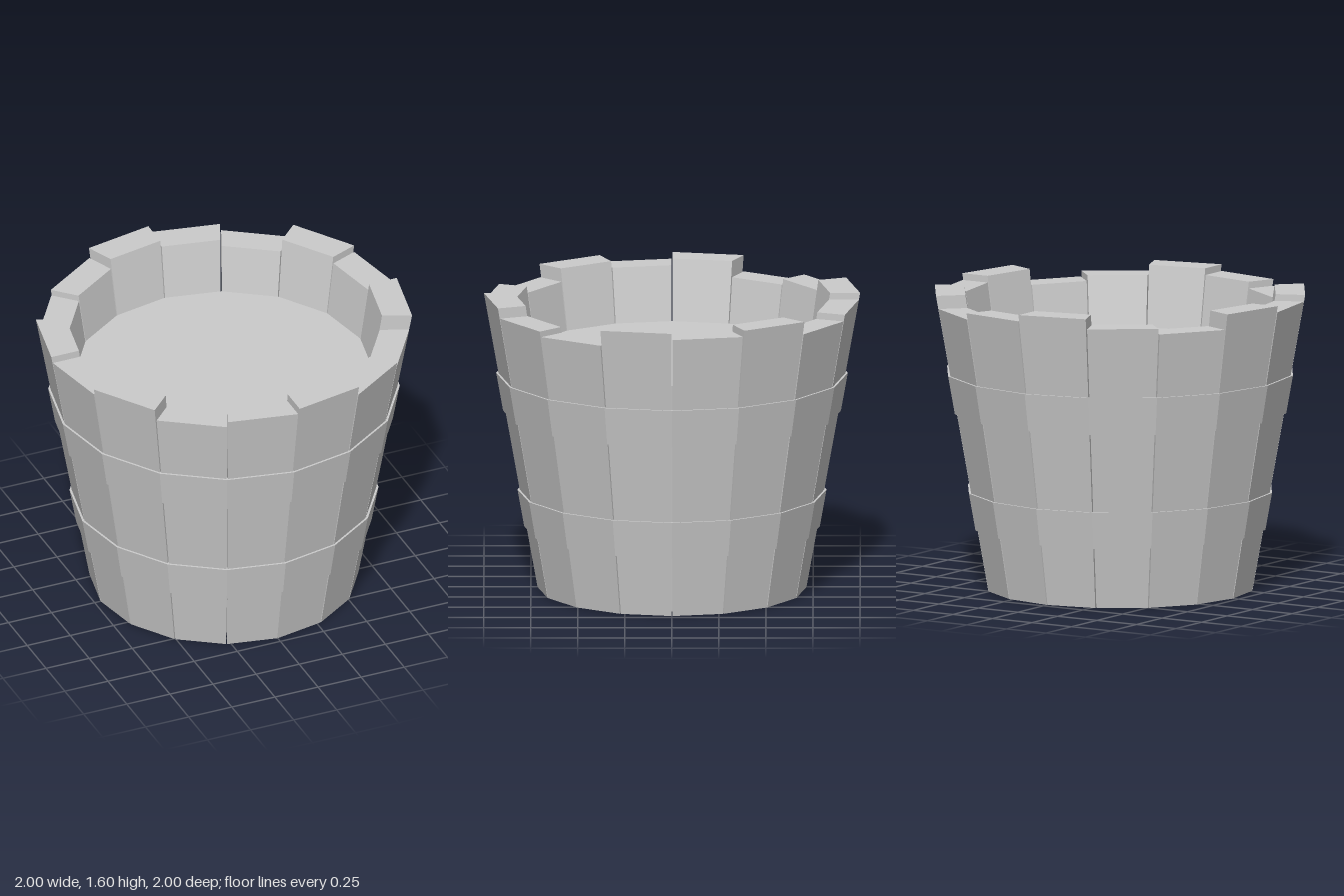
import * as THREE from 'three';

const SIDES = 16;
const STEP = (Math.PI * 2) / SIDES;
const FULL = 1.6;
const INNER = 0.84;   // inner radius as a share of the outer radius
const GAP = 0.003;    // half the slit between neighbouring staves
const FLOOR = 1.27;

// Outer radius of the tapered wall at height y
const outerRadius = (y) => 0.715 + (0.285 * y) / FULL;

// Stave heights; the pattern repeats on the opposite half
const HEIGHTS = [1.6, 1.545, 1.515, 1.6, 1.565, 1.6, 1.53, 1.565];

const material = new THREE.MeshStandardMaterial({ color: 0xcccccc, flatShading: true });

function addMesh(group, geometry, name) {
  const mesh = new THREE.Mesh(geometry, material);
  mesh.name = name;
  group.add(mesh);
  return mesh;
}

// A box bent into a tapered wedge, spanning one side of the polygon
function staveGeometry(index, height) {
  const geometry = new THREE.BoxGeometry(1, 1, 1);
  const p = geometry.attributes.position;
  for (let i = 0; i < p.count; i++) {
    const side = Math.sign(p.getX(i));
    const y = p.getY(i) > 0 ? height : 0;
    const r = outerRadius(y) * (p.getZ(i) > 0 ? 1 : INNER);
    const a = (index + 0.5 + side * 0.5) * STEP - (side * GAP) / r;
    p.setXYZ(i, Math.sin(a) * r, y, Math.cos(a) * r);
  }
  geometry.computeVertexNormals();
  return geometry;
}

// A thin closed ring that follows the taper of the staves
function hoopGeometry(y0, y1) {
  const out = 0.012;
  const r0 = outerRadius(y0);
  const r1 = outerRadius(y1);
  const profile = [
    [r0 + out, y0], [r1 + out, y1], [r1 - out, y1], [r0 - out, y0], [r0 + out, y0],
  ].map(([r, y]) => new THREE.Vector2(r, y));
  return new THREE.LatheGeometry(profile, SIDES);
}

export function createModel() {
  const model = new THREE.Group();
  model.name = 'woodenTub';

  // Wall of staves with uneven tops
  const staves = new THREE.Group();
  staves.name = 'staves';
  for (let i = 0; i < SIDES; i++) {
    addMesh(staves, staveGeometry(i, HEIGHTS[i % HEIGHTS.length]), `stave${i + 1}`);
  }
  model.add(staves);

  // Hoops
  addMesh(model, hoopGeometry(0.33, 0.53), 'lowerHoop');
  addMesh(model, hoopGeometry(0.96, 1.165), 'upperHoop');

  // Solid filling, level with the foot of the staves
  const filling = new THREE.CylinderGeometry(
    outerRadius(FLOOR) * INNER, outerRadius(0) * INNER, FLOOR, SIDES);
  addMesh(model, filling, 'filling').position.y = FLOOR / 2;

  return model;
}
